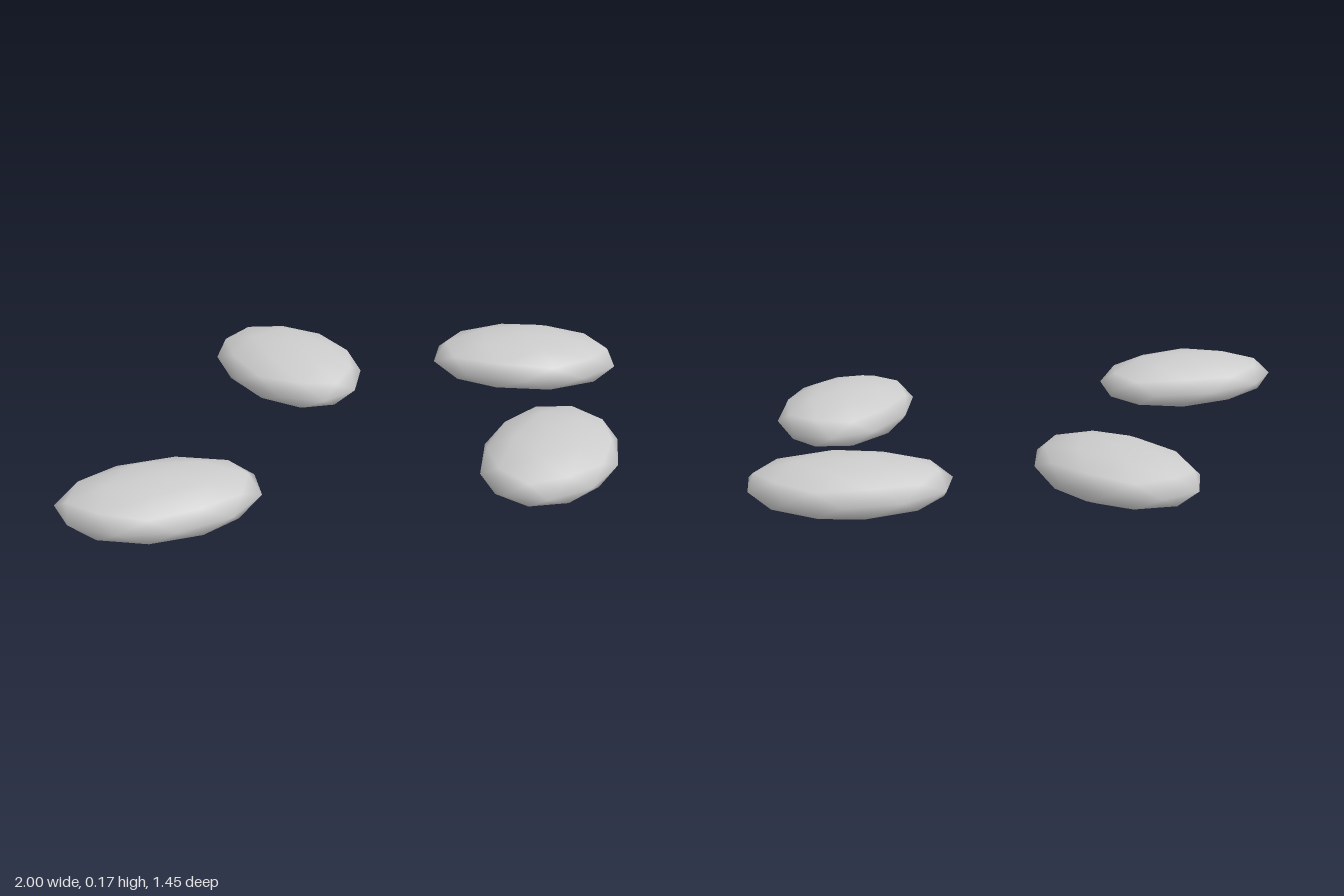
import * as THREE from 'three';
import { mergeVertices } from 'three/addons/utils/BufferGeometryUtils.js';

const RX = 0.311, RY = 0.084, RZ = 0.209;

// Flat pebble: low-poly sphere standing on a pole, squashed, slightly narrower towards +z
function pebbleGeometry() {
  let geo = new THREE.IcosahedronGeometry(1, 1);
  geo.rotateZ(Math.atan(2 / (1 + Math.sqrt(5))));
  geo.deleteAttribute('uv');
  geo.deleteAttribute('normal');
  geo = mergeVertices(geo, 1e-4);
  const pos = geo.attributes.position;
  for (let i = 0; i < pos.count; i++) {
    const z = pos.getZ(i);
    pos.setXYZ(i, pos.getX(i) * RX * (1 - 0.075 * z), pos.getY(i) * RY, z * RZ);
  }
  geo.computeVertexNormals();
  return geo;
}

export function createModel() {
  const group = new THREE.Group();
  group.name = 'steppingStones';
  const stone = new THREE.MeshStandardMaterial({ color: 0xcccccc });
  stone.name = 'light stone grey';
  const geo = pebbleGeometry();

  // x, z and turn of each stone
  const stones = [
    [-0.7, 0.356, 0],
    [0.497, 0.453, 0.91],
    [-0.066, -0.431, 1.85],
    [0.707, -0.248, 2.75],
  ];
  stones.forEach(([x, z, turn], i) => {
    const mesh = new THREE.Mesh(geo, stone);
    mesh.name = `steppingStone${i + 1}`;
    mesh.position.set(x, RY, z);
    mesh.rotation.y = turn;
    group.add(mesh);
  });
  return group;
}
